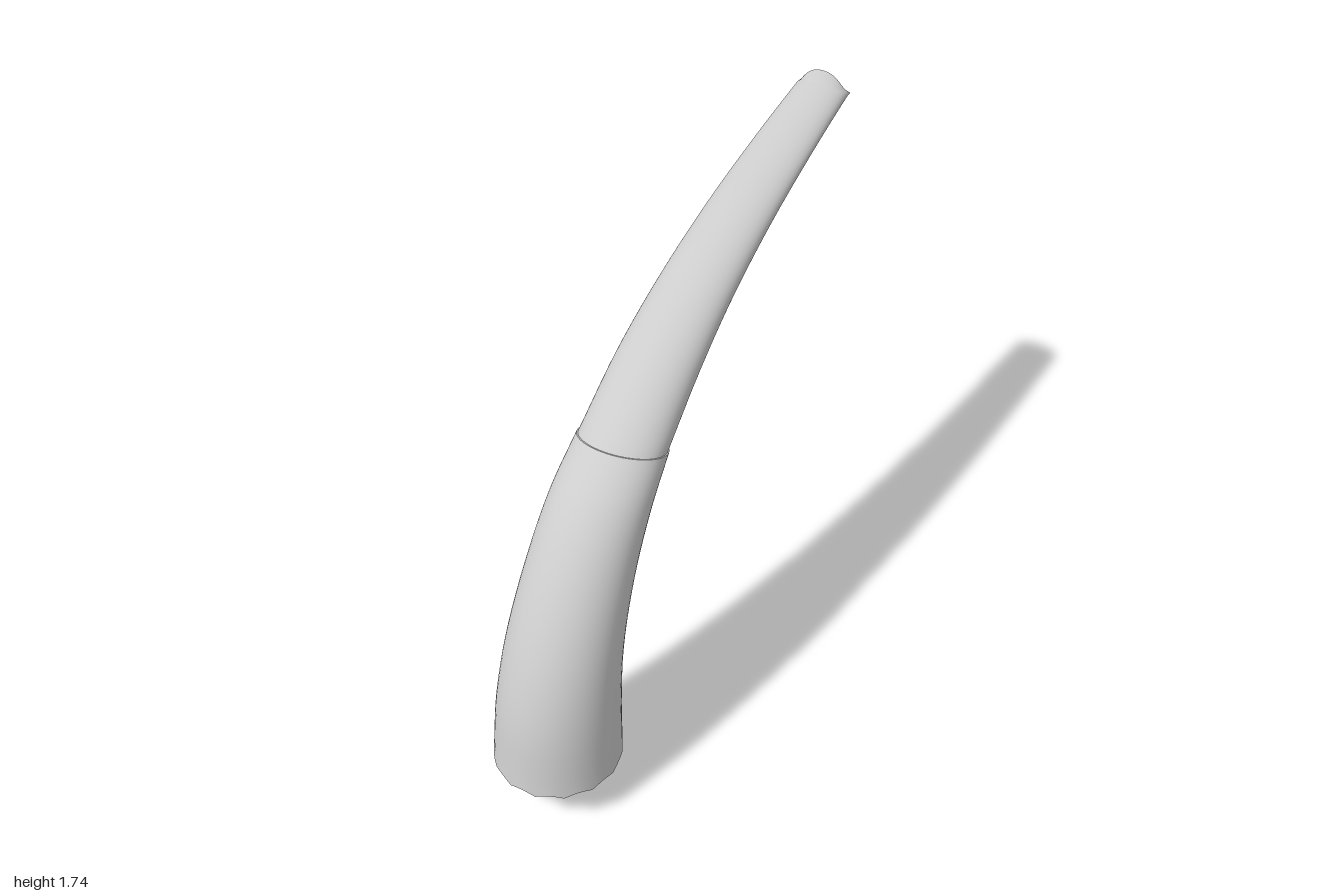
import * as THREE from 'three';

const SEGMENTS = 56;

// Smoothly resample stations [outer z, outer y, inner z, inner y, half width]
function resample(stations, count) {
  const outer = new THREE.CatmullRomCurve3(stations.map(s => new THREE.Vector3(s[4], s[1], s[0])));
  const inner = new THREE.CatmullRomCurve3(stations.map(s => new THREE.Vector3(s[4], s[3], s[2])));
  return Array.from({ length: count + 1 }, (_, i) => {
    const o = outer.getPoint(i / count), n = inner.getPoint(i / count);
    return [o.z, o.y, n.z, n.y, o.x];
  });
}

// Elliptical ring of points spanning the outer and inner edge of the horn
function ring([zo, yo, zi, yi, w]) {
  return Array.from({ length: SEGMENTS }, (_, j) => {
    const a = j / SEGMENTS * Math.PI * 2, t = (1 + Math.cos(a)) / 2;
    return new THREE.Vector3(w * Math.sin(a), yi + (yo - yi) * t, zi + (zo - zi) * t);
  });
}

function finish(points, index) {
  const geometry = new THREE.BufferGeometry().setFromPoints(points);
  geometry.setIndex(index);
  geometry.computeVertexNormals();
  return geometry;
}

// Skin joining successive rings
function loft(rings) {
  const index = [];
  for (let i = 0; i < rings.length - 1; i++) {
    for (let j = 0; j < SEGMENTS; j++) {
      const k = (j + 1) % SEGMENTS, a = i * SEGMENTS, b = a + SEGMENTS;
      index.push(a + j, a + k, b + j, a + k, b + k, b + j);
    }
  }
  return finish(rings.flat(), index);
}

// Fan closing a ring to one point
function fan(loop, apex, reverse) {
  const index = [];
  for (let j = 0; j < SEGMENTS; j++) {
    const k = (j + 1) % SEGMENTS;
    index.push(SEGMENTS, reverse ? k : j, reverse ? j : k);
  }
  return finish([...loop, apex], index);
}

export function createModel() {
  const group = new THREE.Group();
  const horn = new THREE.MeshStandardMaterial({ color: 0xcccccc, side: THREE.DoubleSide });
  horn.name = 'horn grey';
  const add = (name, geometry) => {
    const mesh = new THREE.Mesh(geometry, horn);
    mesh.name = name;
    group.add(mesh);
  };

  // Lower horn with a scalloped bottom edge
  const seam = ring([0.47, 1.097, 0.265, 1.036, 0.138]);
  const lower = resample([
    [1.0, 0.13, 0.595, 0.13, 0.203],
    [0.963, 0.37, 0.583, 0.34, 0.193],
    [0.89, 0.58, 0.55, 0.54, 0.181],
    [0.76, 0.81, 0.47, 0.74, 0.168],
    [0.625, 0.98, 0.37, 0.9, 0.158],
    [0.48, 1.1, 0.255, 1.03, 0.147],
  ], 24).map(ring);
  lower[0].forEach((p, j) => {
    p.y += 0.012 * Math.abs(Math.cos(j / SEGMENTS * Math.PI * 14)) - 0.004;
  });
  add('lowerHorn', loft(lower));
  add('seamLip', loft([lower[lower.length - 1], seam]));

  // Pointed root under the horn
  add('rootCone', fan(lower[0], new THREE.Vector3(0, 0, 0.8), true));

  // Raised, scooped rim at the tip
  const rimCurve = new THREE.CatmullRomCurve3([
    [1.74, -0.905], [1.688, -0.917], [1.67, -0.935], [1.655, -0.962], [1.645, -0.995],
  ].map(([y, z]) => new THREE.Vector3(0, y, z)));
  const rim = Array.from({ length: SEGMENTS }, (_, j) => {
    const a = j / SEGMENTS * Math.PI * 2;
    const p = rimCurve.getPoint((1 - Math.cos(a)) / 2);
    p.x = 0.09 * Math.sin(a);
    return p;
  });

  // Upper horn tapering to the rim
  const upper = resample([
    [0.475, 1.098, 0.26, 1.033, 0.143],
    [0.25, 1.27, 0.06, 1.193, 0.134],
    [0, 1.41, -0.14, 1.32, 0.123],
    [-0.29, 1.53, -0.4, 1.446, 0.112],
    [-0.61, 1.63, -0.69, 1.556, 0.101],
    [-0.85, 1.698, -0.92, 1.625, 0.092],
    [-0.88, 1.706, -0.955, 1.634, 0.091],
  ], 30).map(ring);
  add('upperHorn', loft([seam, ...upper, rim]));

  // Hollow face of the tip
  add('tipScoop', fan(rim, new THREE.Vector3(0, 1.665, -0.928), false));
  return group;
}
